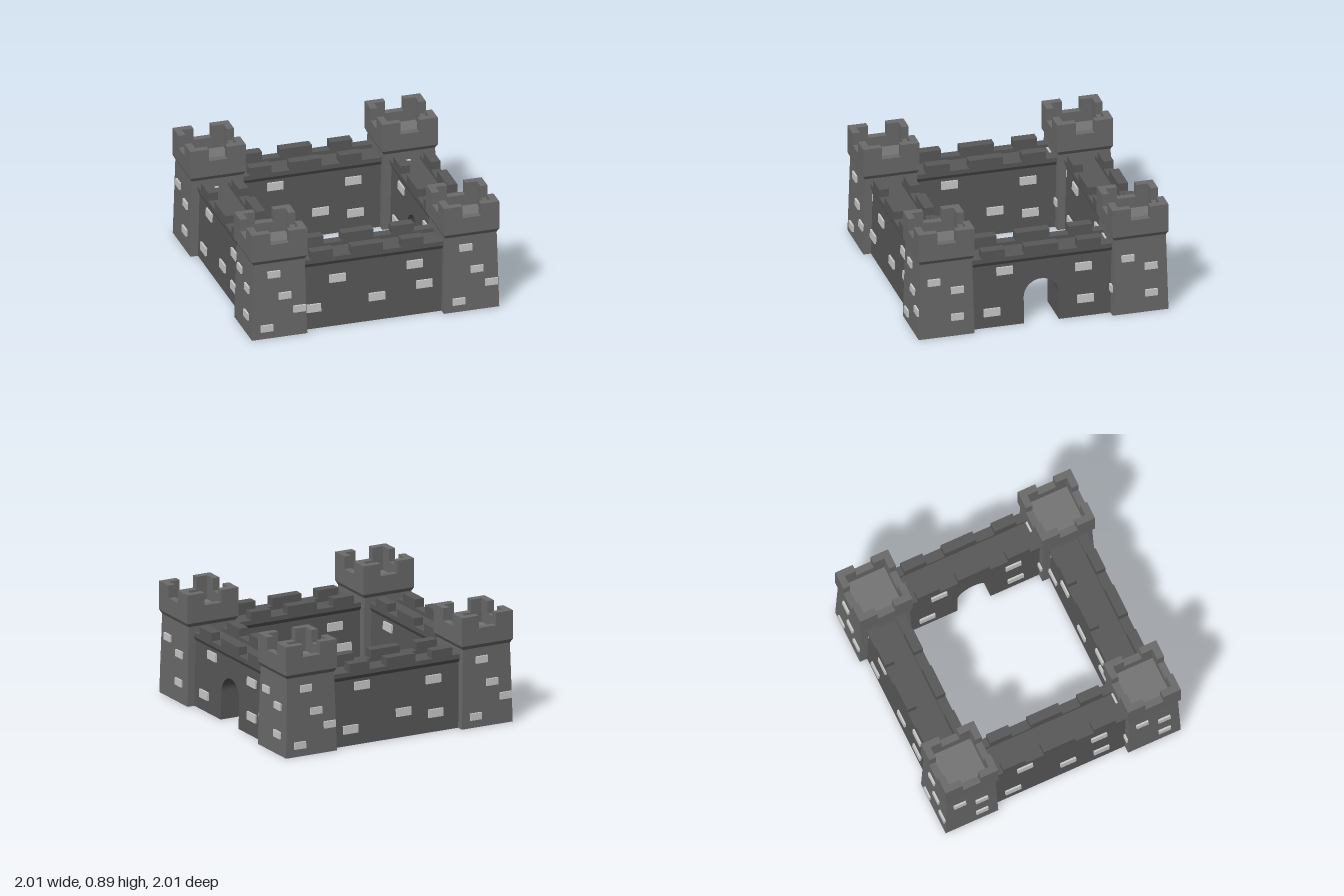
import * as THREE from 'three';

const mat = (color) => new THREE.MeshStandardMaterial({ color, flatShading: true });
const towerMat = mat(0x6b6b6b);
const wallMat = mat(0x595959);
const floorMat = mat(0x757575);
const brickMat = mat(0xcccccc);

const TOWER = 0.77;      // distance of tower and wall centres from the axes
const HALF = 0.222;      // tower half width
const WALL_TOP = 0.52;   // height of the sloping wall body

function add(parent, name, geometry, material) {
  const mesh = new THREE.Mesh(geometry, material);
  mesh.name = name;
  parent.add(mesh);
  return mesh;
}

// Raised stones on one sloping face; list holds [across, height]
function addBricks(parent, list, w, h, base, slope, angle) {
  const face = new THREE.Group();
  face.name = 'brickFace';
  face.rotation.y = angle;
  for (const [u, y] of list) {
    const brick = add(face, 'brick', new THREE.BoxGeometry(w, h, 0.03), brickMat);
    brick.position.set(u, y, base - slope * y);
    brick.rotation.x = -Math.atan(slope);
  }
  parent.add(face);
}

// Square-section solid from a profile of [half width, height]
function squareLathe(profile) {
  const pts = profile.map(([r, y]) => new THREE.Vector2(r * Math.SQRT2, y));
  return new THREE.LatheGeometry(pts, 4, Math.PI / 4);
}

const towerFrontBricks = [[-0.045, 0.535], [0.043, 0.345], [0.16, 0.22], [-0.103, 0.09]];
const towerSideBricks = [[-0.1, 0.47], [0.085, 0.385], [0.085, 0.16]];

function makeTower() {
  const tower = new THREE.Group();
  tower.name = 'tower';
  const inner = HALF - 0.056;
  add(tower, 'towerBody', squareLathe([
    [0, 0], [HALF, 0], [0.206, 0.63], [HALF, 0.66], [HALF, 0.79], [inner, 0.79], [inner, 0.7],
  ]), towerMat);
  add(tower, 'towerFloor', squareLathe([[inner, 0.7], [0, 0.7]]), floorMat);

  // L-shaped corner battlements
  const a = HALF, b = HALF - 0.147;
  const corner = new THREE.Shape([[b, inner], [inner, inner], [inner, b], [a, b], [a, a], [b, a]]
    .map(([x, y]) => new THREE.Vector2(x, y)));
  const cornerGeo = new THREE.ExtrudeGeometry(corner, { depth: 0.1, bevelEnabled: false });
  cornerGeo.rotateX(-Math.PI / 2).translate(0, 0.79, 0);
  for (let i = 0; i < 4; i++) {
    add(tower, 'towerBattlement', cornerGeo, towerMat).rotation.y = i * Math.PI / 2;
    addBricks(tower, i % 2 ? towerSideBricks : towerFrontBricks, 0.1, 0.055,
      HALF, 0.025, i * Math.PI / 2);
  }
  return tower;
}

const frontBricks = [[-0.285, 0.4], [0.335, 0.425], [0.41, 0.25], [0.03, 0.2], [-0.485, 0.175]];
const sideBricks = [[-0.29, 0.465], [0.335, 0.42], [-0.395, 0.13], [0.07, 0.2], [0.35, 0.15]];

// Wall along x, its outer face towards +z
function makeWall({ bricks, gate = false, stretch = 1, shift = 0 }) {
  const wall = new THREE.Group();
  wall.name = gate ? 'gateWall' : 'wall';
  const L = 0.6, base = 0.162, top = 0.145;

  // Body, with an arched opening for the gate
  const s = new THREE.Shape();
  s.moveTo(-L, 0);
  if (gate) {
    s.lineTo(-0.139, 0);
    s.lineTo(-0.139, 0.22);
    s.absarc(0, 0.22, 0.139, Math.PI, 0, true);
    s.lineTo(0.139, 0);
  }
  s.lineTo(L, 0);
  s.lineTo(L, WALL_TOP);
  s.lineTo(-L, WALL_TOP);
  s.closePath();
  const body = new THREE.ExtrudeGeometry(s, { depth: 2, bevelEnabled: false, curveSegments: 20 });
  body.translate(0, 0, -1);
  const p = body.attributes.position;
  for (let i = 0; i < p.count; i++) {
    p.setZ(i, p.getZ(i) * THREE.MathUtils.lerp(base, top, p.getY(i) / WALL_TOP));
  }
  body.computeVertexNormals();
  add(wall, 'wallBody', body, wallMat);

  // Flared ledge with a sunken walkway between two parapets
  const half = [[top, 0.52], [0.16, 0.55], [0.16, 0.585], [0.083, 0.585], [0.083, 0.555]];
  const section = [...half, ...half.map(([z, y]) => [-z, y]).reverse()];
  const ledge = new THREE.ExtrudeGeometry(
    new THREE.Shape(section.map(([z, y]) => new THREE.Vector2(z, y))),
    { depth: 2 * L, bevelEnabled: false });
  ledge.translate(0, 0, -L).rotateY(Math.PI / 2);
  add(wall, 'walkway', ledge, wallMat);

  // Battlements on both edges
  for (const side of [-1, 1]) {
    for (const [x, w] of [[-0.381, 0.187], [0, 0.268], [0.381, 0.187]]) {
      const merlon = add(wall, 'wallBattlement',
        new THREE.BoxGeometry(w * stretch, 0.065, 0.077), wallMat);
      merlon.position.set(x * stretch + shift, 0.6175, side * 0.1215);
    }
  }

  const clear = gate ? bricks.filter(([u]) => Math.abs(u) > 0.2) : bricks;
  const slope = (base - top) / WALL_TOP;
  addBricks(wall, clear, 0.13, 0.065, base, slope, 0);
  addBricks(wall, clear, 0.13, 0.065, base, slope, Math.PI);
  return wall;
}

export function createModel() {
  const castle = new THREE.Group();
  castle.name = 'castle';

  for (const x of [-1, 1]) {
    for (const z of [-1, 1]) {
      const tower = makeTower();
      tower.position.set(x * TOWER, 0, z * TOWER);
      castle.add(tower);
    }
  }

  // Front, gate side (+x), back and far side
  [
    { bricks: frontBricks, stretch: 0.95, shift: -0.047 },
    { bricks: sideBricks, gate: true },
    { bricks: sideBricks, stretch: 0.95, shift: 0.047 },
    { bricks: sideBricks },
  ].forEach((options, i) => {
    const wall = makeWall(options);
    const angle = i * Math.PI / 2;
    wall.rotation.y = angle;
    wall.position.set(Math.sin(angle) * TOWER, 0, Math.cos(angle) * TOWER);
    castle.add(wall);
  });

  castle.position.set(-0.003, 0, -0.003);
  const root = new THREE.Group();
  root.add(castle);
  return root;
}
